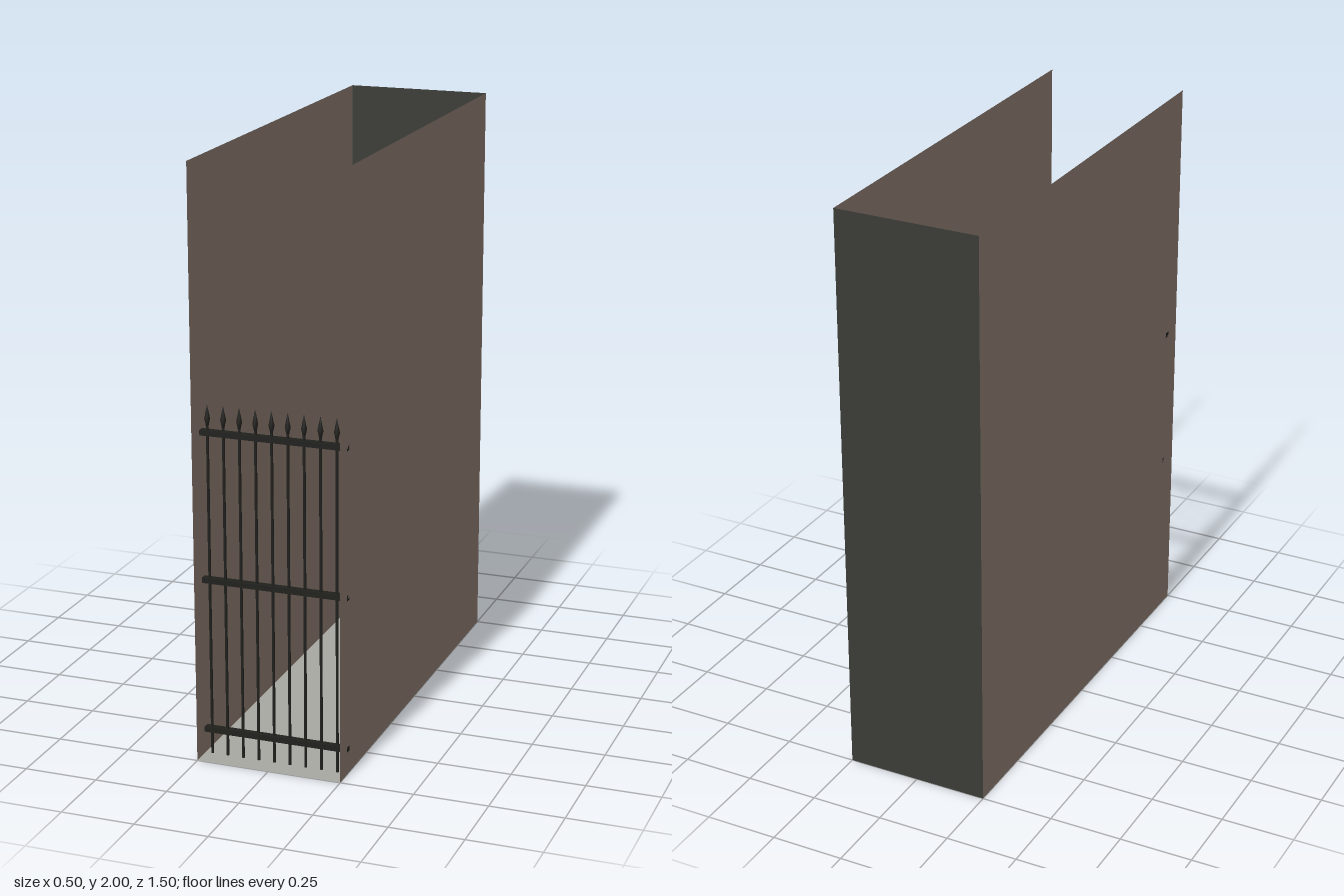
import * as THREE from 'three';

export function createModel() {
  const group = new THREE.Group();
  group.name = 'gatedAlley';

  const material = (name, color, side = THREE.FrontSide) => {
    const m = new THREE.MeshStandardMaterial({ color, side });
    m.name = name;
    return m;
  };
  const brown = material('brownWall', 0x918073, THREE.DoubleSide);
  const dark = material('darkBackWall', 0x3b3c37, THREE.DoubleSide);
  const grey = material('greyPaving', 0xa8a8a2, THREE.DoubleSide);
  const iron = material('blackIron', 0x20201d);

  const add = (name, geometry, mat, x, y, z, parent = group) => {
    const mesh = new THREE.Mesh(geometry, mat);
    mesh.name = name;
    mesh.position.set(x, y, z);
    parent.add(mesh);
    return mesh;
  };

  const width = 0.5, depth = 1.5, height = 2;

  // Paving and the three thin walls; the front and top stay open
  add('paving', new THREE.PlaneGeometry(width, depth).rotateX(-Math.PI / 2), grey, 0, 0, 0);
  add('backWall', new THREE.PlaneGeometry(width, height), dark, 0, height / 2, -depth / 2);
  for (const side of [-1, 1]) {
    add(side > 0 ? 'leftWall' : 'rightWall',
      new THREE.PlaneGeometry(depth, height).rotateY(side * Math.PI / 2),
      brown, side * width / 2, height / 2, 0);
  }

  // Iron fence across the front
  const fence = new THREE.Group();
  fence.name = 'fence';
  fence.position.z = 0.675;
  group.add(fence);

  // Horizontal rails
  const railGeometry = new THREE.BoxGeometry(width, 0.018, 0.024);
  for (const y of [0.086, 0.61, 1.111]) add('rail', railGeometry, iron, 0, y, 0, fence);

  // Upright bars, each with a spear point
  const barGeometry = new THREE.CylinderGeometry(0.005, 0.005, 1.15, 8);
  const spearGeometry = new THREE.LatheGeometry(
    [[0, 0], [0.005, 0], [0.01, 0.022], [0, 0.07]].map(([r, y]) => new THREE.Vector2(r, y)), 8);
  for (let i = 0; i < 9; i++) {
    const x = -0.227 + i * 0.055;
    add('bar', barGeometry, iron, x, 0.575, 0, fence);
    add('spearPoint', spearGeometry, iron, x, 1.135, 0, fence);
  }

  return group;
}
